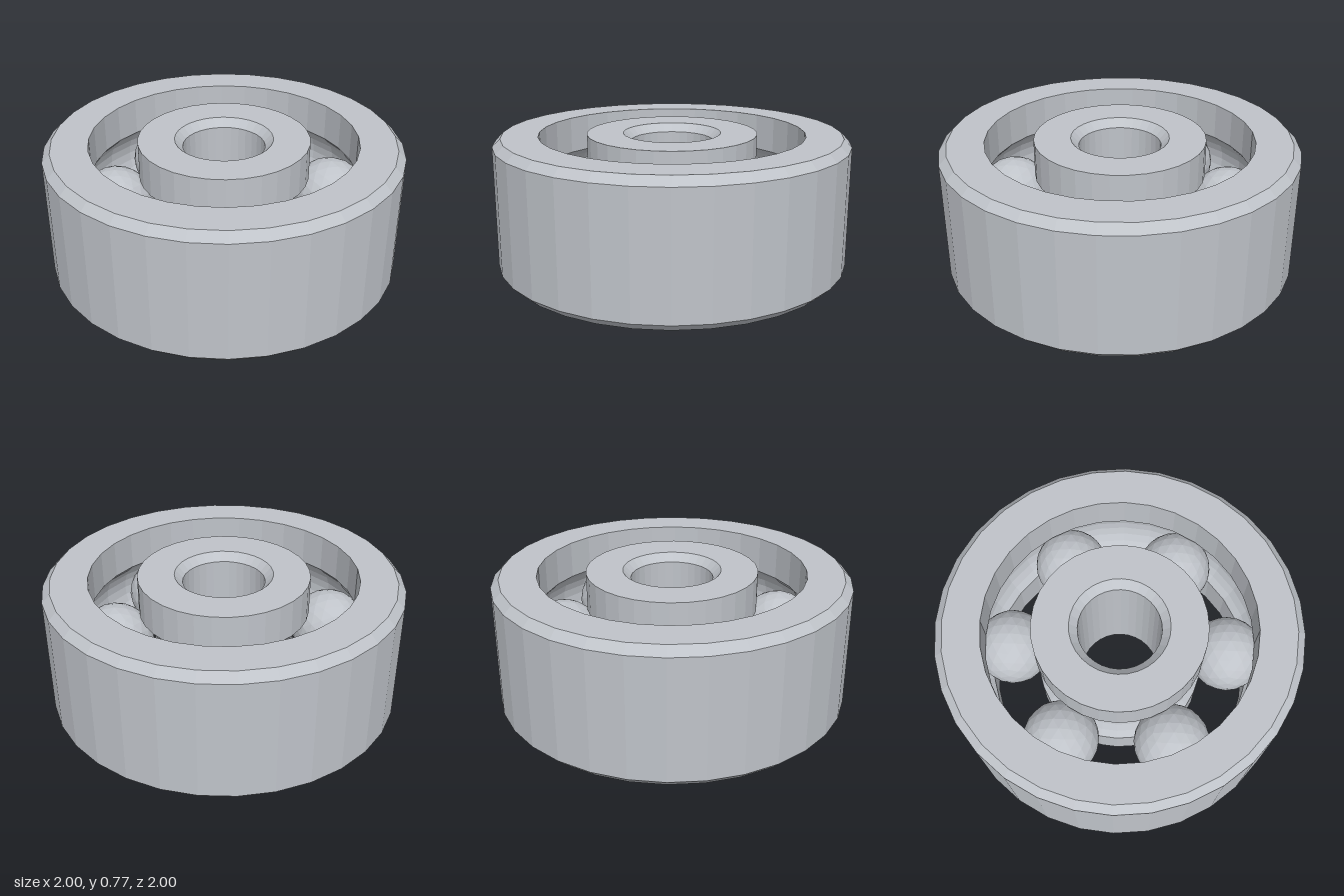
import * as THREE from 'three';

const HEIGHT = 0.77, MID = HEIGHT / 2;
const PITCH = 0.615, BALL_R = 0.212, GROOVE_R = 0.218;
const BEVEL = 0.045, SEGMENTS = 32;

// Give every face its own normal for a faceted look
function faceted(geometry) {
  const flat = geometry.index ? geometry.toNonIndexed() : geometry;
  flat.computeVertexNormals();
  return flat;
}

// Arc of the ball race cut into a ring wall of radius wallR, from y sign `from` to the other side
function groove(wallR, from, steps = 8) {
  const dir = Math.sign(wallR - PITCH);
  const half = Math.acos(Math.abs(wallR - PITCH) / GROOVE_R);
  const points = [];
  for (let i = 0; i <= steps; i++) {
    const a = from * half * (1 - (2 * i) / steps);
    points.push([PITCH + dir * GROOVE_R * Math.cos(a), MID + GROOVE_R * Math.sin(a)]);
  }
  return points;
}

function ring(name, profile, material) {
  const points = [...profile, profile[0]].map(([r, y]) => new THREE.Vector2(r, y));
  const mesh = new THREE.Mesh(faceted(new THREE.LatheGeometry(points, SEGMENTS)), material);
  mesh.name = name;
  return mesh;
}

export function createModel() {
  const group = new THREE.Group();
  group.name = 'ballBearing';
  const steel = new THREE.MeshStandardMaterial({ color: 0xbfc3c9 });
  steel.name = 'steel';

  // Outer ring: bevelled outside, race groove inside
  group.add(ring('outerRing', [
    [1 - BEVEL, 0], [1, BEVEL], [1, HEIGHT - BEVEL], [1 - BEVEL, HEIGHT],
    [0.75, HEIGHT], ...groove(0.75, 1), [0.75, 0],
  ], steel));

  // Inner ring: race groove outside, bevelled bore
  const bore = 0.23;
  group.add(ring('innerRing', [
    [0.48, 0], ...groove(0.48, -1), [0.48, HEIGHT],
    [bore + BEVEL, HEIGHT], [bore, HEIGHT - BEVEL], [bore, BEVEL], [bore + BEVEL, 0],
  ], steel));

  // Six balls running between the races
  const ballGeometry = faceted(new THREE.IcosahedronGeometry(BALL_R, 3));
  for (let i = 0; i < 6; i++) {
    const a = (i * Math.PI) / 3;
    const ball = new THREE.Mesh(ballGeometry, steel);
    ball.name = `ball${i + 1}`;
    ball.position.set(PITCH * Math.cos(a), MID, PITCH * Math.sin(a));
    group.add(ball);
  }
  return group;
}
